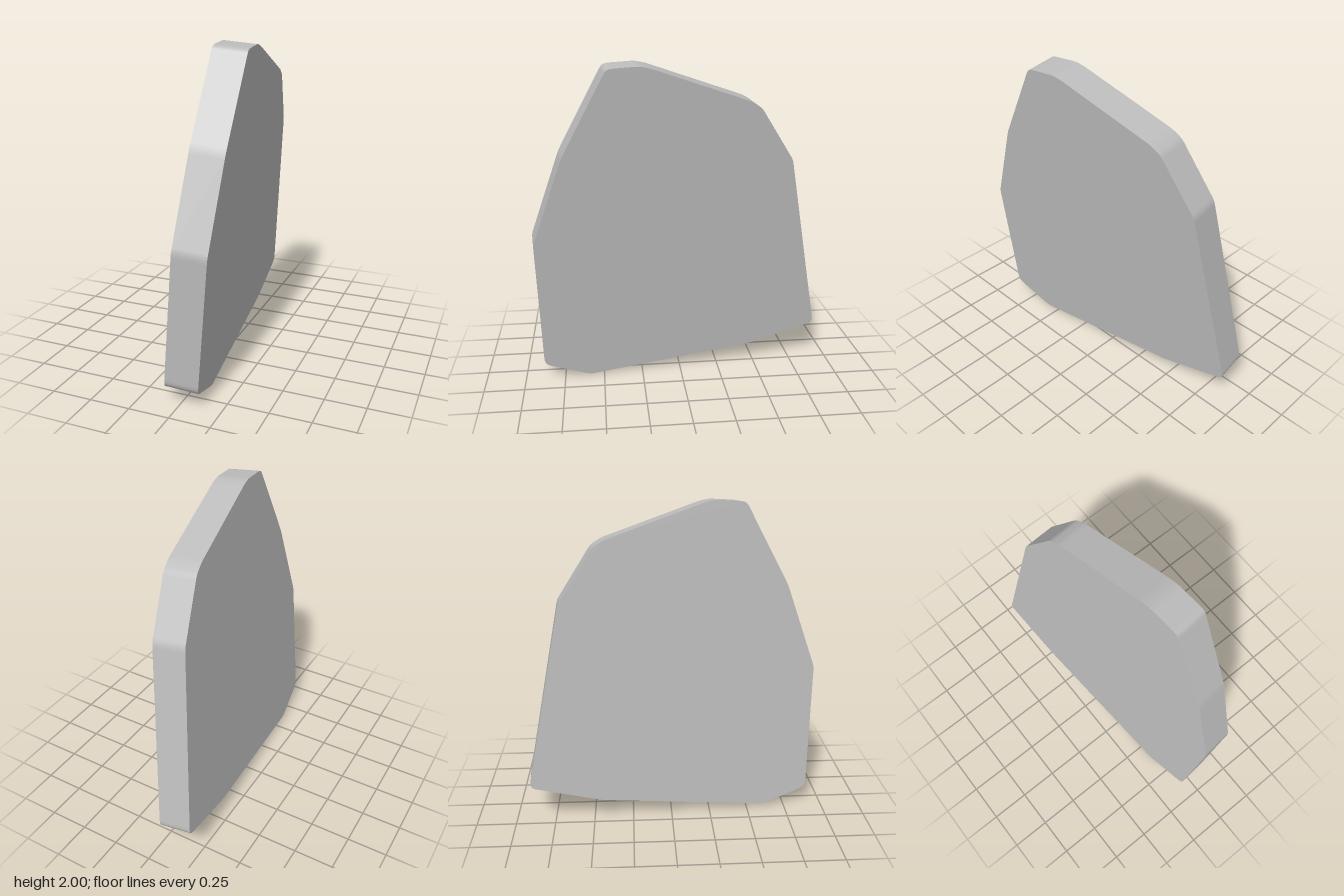
import * as THREE from 'three';

// Outline of the slab's left face as [z, y], from the top front corner round the back
const OUTLINE = [
  [0.445, 1.963], [0.415, 1.974], [0.25, 1.984], [0.19, 1.972],
  [-0.42, 1.765], [-0.485, 1.725], [-0.70, 1.395], [-0.917, 0.26],
  [-0.905, 0.233], [-0.47, 0.12], [0.59, 0.003], [0.86, 0.1],
  [0.878, 0.13], [0.902, 0.93], [0.715, 1.46],
];
const THICKNESS = 0.2;
const LEAN_Y = 0.0916; // sideways lean per unit of height
const LEAN_Z = 0.1;    // sideways lean per unit of depth

// Closed shape with every corner slightly rounded
function roundedShape(points, radius) {
  const shape = new THREE.Shape();
  const n = points.length;
  points.forEach((p, i) => {
    const cut = (q) => p.clone().lerp(q, Math.min(0.4, radius / p.distanceTo(q)));
    const a = cut(points[(i + n - 1) % n]);
    const b = cut(points[(i + 1) % n]);
    if (i === 0) shape.moveTo(a.x, a.y);
    else shape.lineTo(a.x, a.y);
    shape.quadraticCurveTo(p.x, p.y, b.x, b.y);
  });
  shape.closePath();
  return shape;
}

export function createModel() {
  const stone = new THREE.MeshStandardMaterial({ color: 0xbcbcbc });
  stone.name = 'plain grey';

  const points = OUTLINE.map(([z, y]) => new THREE.Vector2(-z, y));
  const geometry = new THREE.ExtrudeGeometry(roundedShape(points, 0.025), {
    depth: THICKNESS, bevelEnabled: false, curveSegments: 4,
  });
  geometry.translate(0, 0, -THICKNESS);

  // Stand the slab in the leaning plane, with its thickness square to that plane
  geometry.applyMatrix4(new THREE.Matrix4().makeBasis(
    new THREE.Vector3(-LEAN_Z, 0, -1),
    new THREE.Vector3(LEAN_Y, 1, 0),
    new THREE.Vector3(1, -LEAN_Y, -LEAN_Z),
  ));
  geometry.translate(0.026, 0, 0);
  geometry.computeVertexNormals();

  const slab = new THREE.Mesh(geometry, stone);
  slab.name = 'slab';

  const group = new THREE.Group();
  group.name = 'leaningSlab';
  group.add(slab);
  return group;
}
